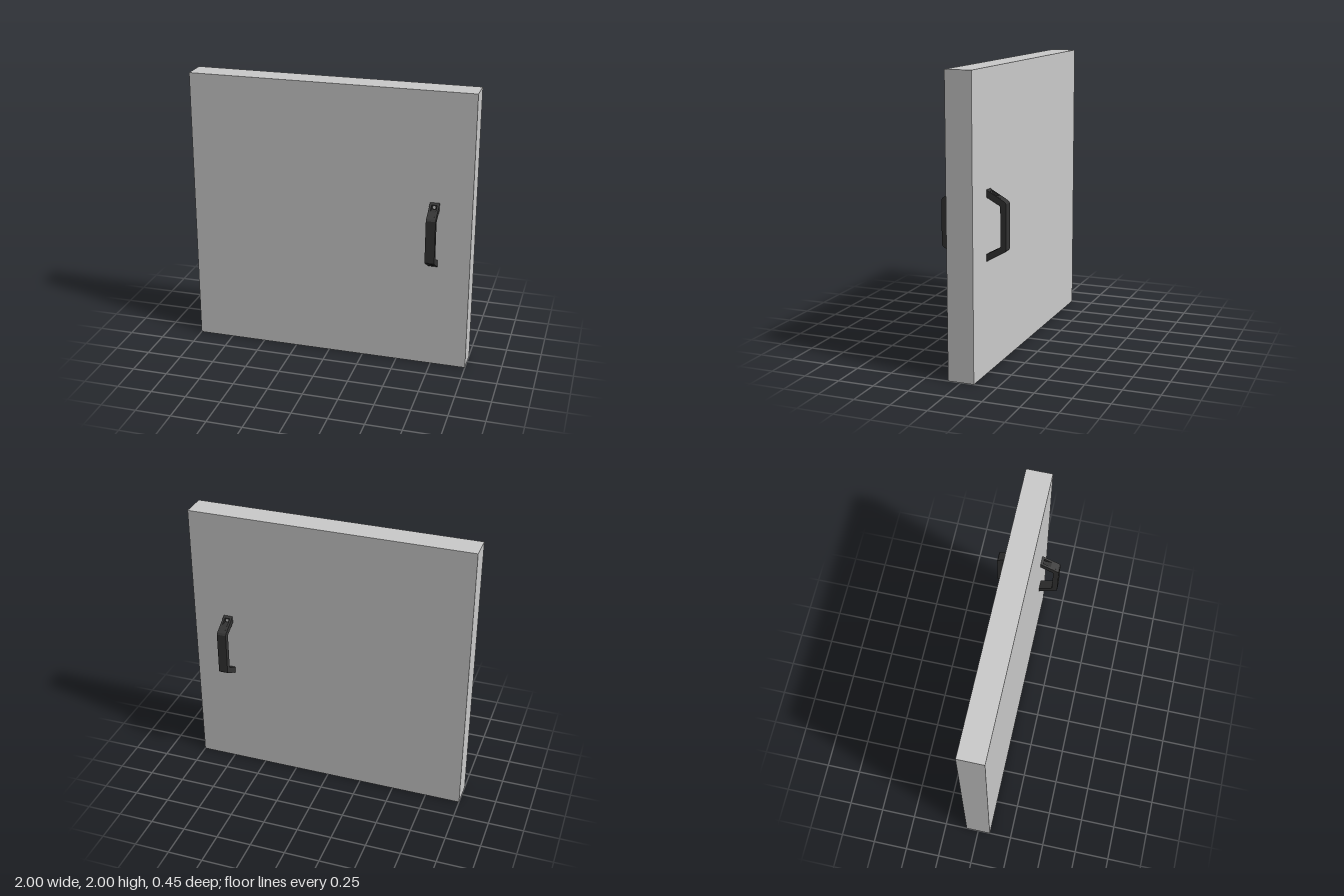
import * as THREE from 'three';

const DOOR_Z = 0.09;   // half thickness of the panel
const GRIP_W = 0.066;
const POCKET_W = 0.036;

// Upper half of the handle's outer edge as [z, height from middle], bottom to top.
const OUTER = [[0.225, 0.15], [0.216, 0.163]];
const POCKET = [[0.163, 0.194], [0.108, 0.194], [0.108, 0.224]];
const FOOT = [[DOOR_Z, 0.235]];
const INNER = [[DOOR_Z, 0.186], [0.178, 0.138], [0.185, 0.129]];

// Side profile of the pull, mirrored top to bottom, extruded across its width
function pullSlab(width, x, pocketed, material) {
  const half = [...OUTER, ...(pocketed ? POCKET : []), ...FOOT, ...INNER];
  const mirrored = half.map(([z, y]) => [z, -y]).reverse();
  const shape = new THREE.Shape([...half, ...mirrored].map(([z, y]) => new THREE.Vector2(z, y)));
  const geometry = new THREE.ExtrudeGeometry(shape, { depth: width, bevelEnabled: false });
  geometry.translate(0, 0, -width / 2).rotateY(-Math.PI / 2).translate(x, 0, 0);
  const mesh = new THREE.Mesh(geometry, material);
  mesh.name = pocketed ? 'gripCore' : 'gripSide';
  return mesh;
}

function makeHandle(name, dark, grey) {
  const handle = new THREE.Group();
  handle.name = name;

  // Core with screw pockets between two plain cheeks
  const cheek = (GRIP_W - POCKET_W) / 2;
  handle.add(pullSlab(POCKET_W, 0, true, dark));
  for (const side of [-1, 1]) {
    handle.add(pullSlab(cheek, side * (POCKET_W + cheek) / 2, false, dark));
  }

  // Screw at the bottom of each pocket
  for (const end of [-1, 1]) {
    const screw = new THREE.Mesh(new THREE.CylinderGeometry(0.01, 0.01, 0.008, 16), grey);
    screw.name = 'screw';
    screw.rotation.x = Math.PI / 2;
    screw.position.set(0, end * 0.209, 0.107);
    handle.add(screw);
  }
  return handle;
}

export function createModel() {
  const model = new THREE.Group();
  model.name = 'door';
  const grey = new THREE.MeshStandardMaterial({ color: 0xcccccc });
  const dark = new THREE.MeshStandardMaterial({ color: 0x333333 });

  // Door panel
  const panel = new THREE.Mesh(new THREE.BoxGeometry(2, 2, DOOR_Z * 2), grey);
  panel.name = 'doorPanel';
  panel.position.y = 1;
  model.add(panel);

  // One handle on each face
  ['frontHandle', 'backHandle'].forEach((name, i) => {
    const handle = makeHandle(name, dark, grey);
    handle.position.set(0.743, 0.99, 0);
    handle.rotation.y = i * Math.PI;
    model.add(handle);
  });
  return model;
}
